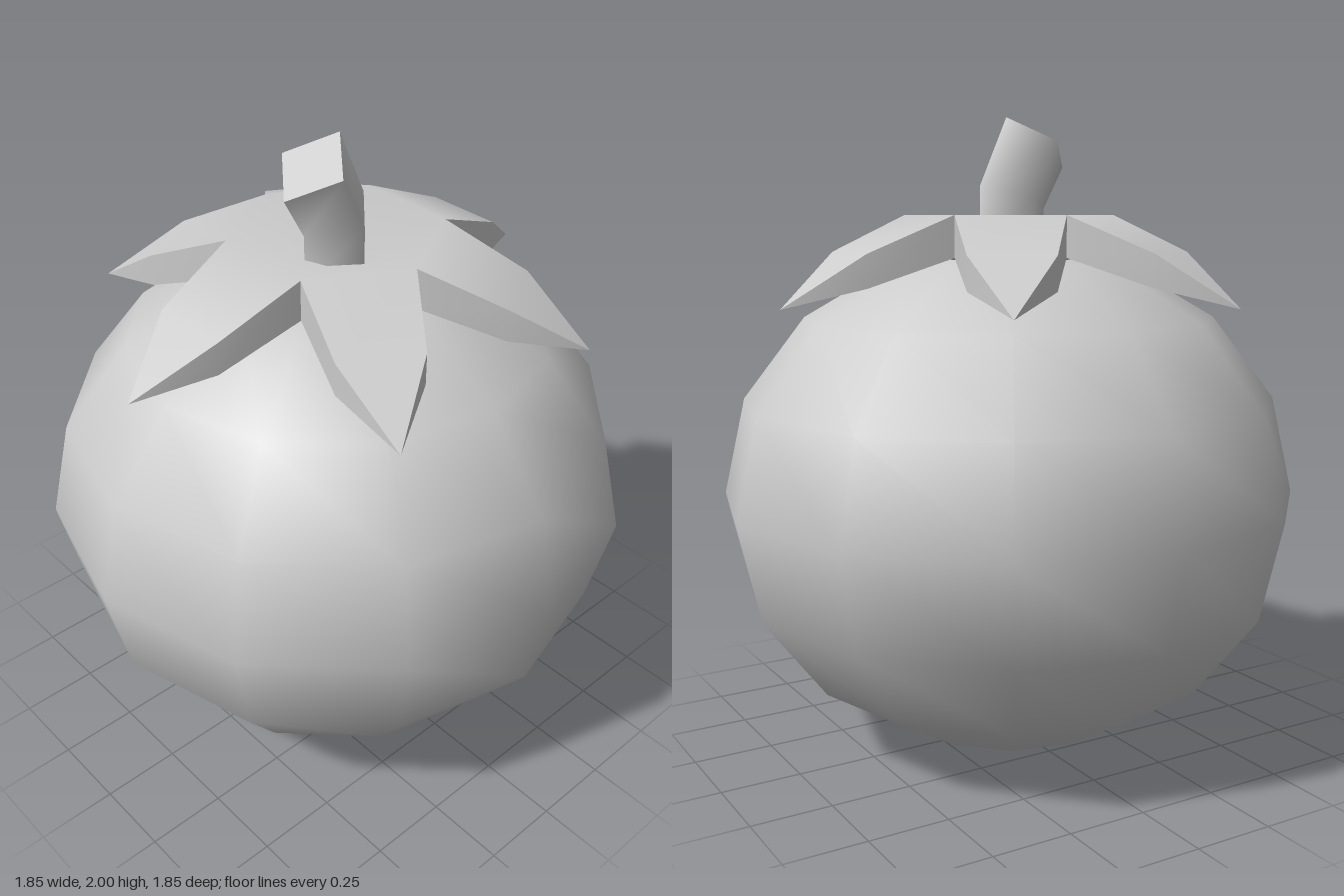
import * as THREE from 'three';
import { toCreasedNormals } from 'three/addons/utils/BufferGeometryUtils.js';

const material = new THREE.MeshStandardMaterial({ color: 0xcccccc });

function part(name, geometry) {
  const mesh = new THREE.Mesh(geometry, material);
  mesh.name = name;
  return mesh;
}

// Six-pointed leaf crown: a star outline repeated on top and bottom, joined by walls.
function leafCrown() {
  // One leaf: angle in degrees, radius, top height, bottom height
  const leaf = [
    [-30, 0.33, 1.7, 1.575],
    [-12.8, 0.564, 1.59, 1.49],
    [0, 0.77, 1.43, 1.43],
    [12.8, 0.564, 1.59, 1.49],
  ];
  const top = [], bottom = [], index = [];
  for (let k = 0; k < 6; k++) {
    for (const [deg, r, yTop, yBottom] of leaf) {
      const a = THREE.MathUtils.degToRad(deg + 60 * k);
      top.push(r * Math.cos(a), yTop, r * Math.sin(a));
      bottom.push(r * Math.cos(a), yBottom, r * Math.sin(a));
    }
  }
  const under = (i) => (i % 4 === 2 ? i : 24 + i); // tips are shared
  const face = (a, b, c) => {
    if (a !== b && b !== c && a !== c) index.push(a, b, c);
  };
  for (let v = 0; v < 24; v += 4) {
    const m = v + 1, t = v + 2, n = v + 3, w = (v + 4) % 24;
    for (const [a, b, c] of [[v, w, n], [v, n, m], [m, n, t]]) {
      face(a, b, c);
      face(under(a), under(c), under(b));
    }
    face(48, w, v);
    face(49, under(v), under(w));
    for (let i = v; i < v + 4; i++) {
      const j = (i + 1) % 24;
      face(i, j, under(j));
      face(i, under(j), under(i));
    }
  }
  const geometry = new THREE.BufferGeometry();
  const points = [...top, ...bottom, 0, 1.6, 0, 0, 1.5, 0];
  geometry.setAttribute('position', new THREE.Float32BufferAttribute(points, 3));
  geometry.setIndex(index);
  return toCreasedNormals(geometry, 0.9);
}

// Four-sided stem, each ring moved and tilted to bend it to one side.
function bentStem() {
  const rings = [
    { x: -0.01, y: 1.55, tilt: 0, width: 0.118 },
    { x: -0.012, y: 1.755, tilt: 0.29, width: 0.122 },
    { x: -0.095, y: 1.925, tilt: 0.62, width: 0.129 },
  ];
  const geometry = new THREE.CylinderGeometry(1, 1, 2, 4, 2);
  const { position, normal } = geometry.attributes;
  const axis = new THREE.Vector3(0, 0, 1);
  const p = new THREE.Vector3();
  for (let i = 0; i < position.count; i++) {
    const ring = rings[Math.round(position.getY(i)) + 1];
    p.set(position.getX(i) * ring.width, 0, position.getZ(i) * 0.13);
    p.applyAxisAngle(axis, ring.tilt);
    position.setXYZ(i, p.x + ring.x, p.y + ring.y, p.z);
    p.fromBufferAttribute(normal, i).applyAxisAngle(axis, ring.tilt);
    normal.setXYZ(i, p.x, p.y, p.z);
  }
  return geometry;
}

export function createModel() {
  const model = new THREE.Group();
  model.name = 'tomato';

  // Slightly flattened round fruit
  const fruit = new THREE.SphereGeometry(1, 12, 8).scale(0.923, 0.806, 0.923).translate(0, 0.81, 0);
  model.add(part('fruit', fruit));
  model.add(part('leafCrown', leafCrown()));
  model.add(part('stem', bentStem()));
  return model;
}
